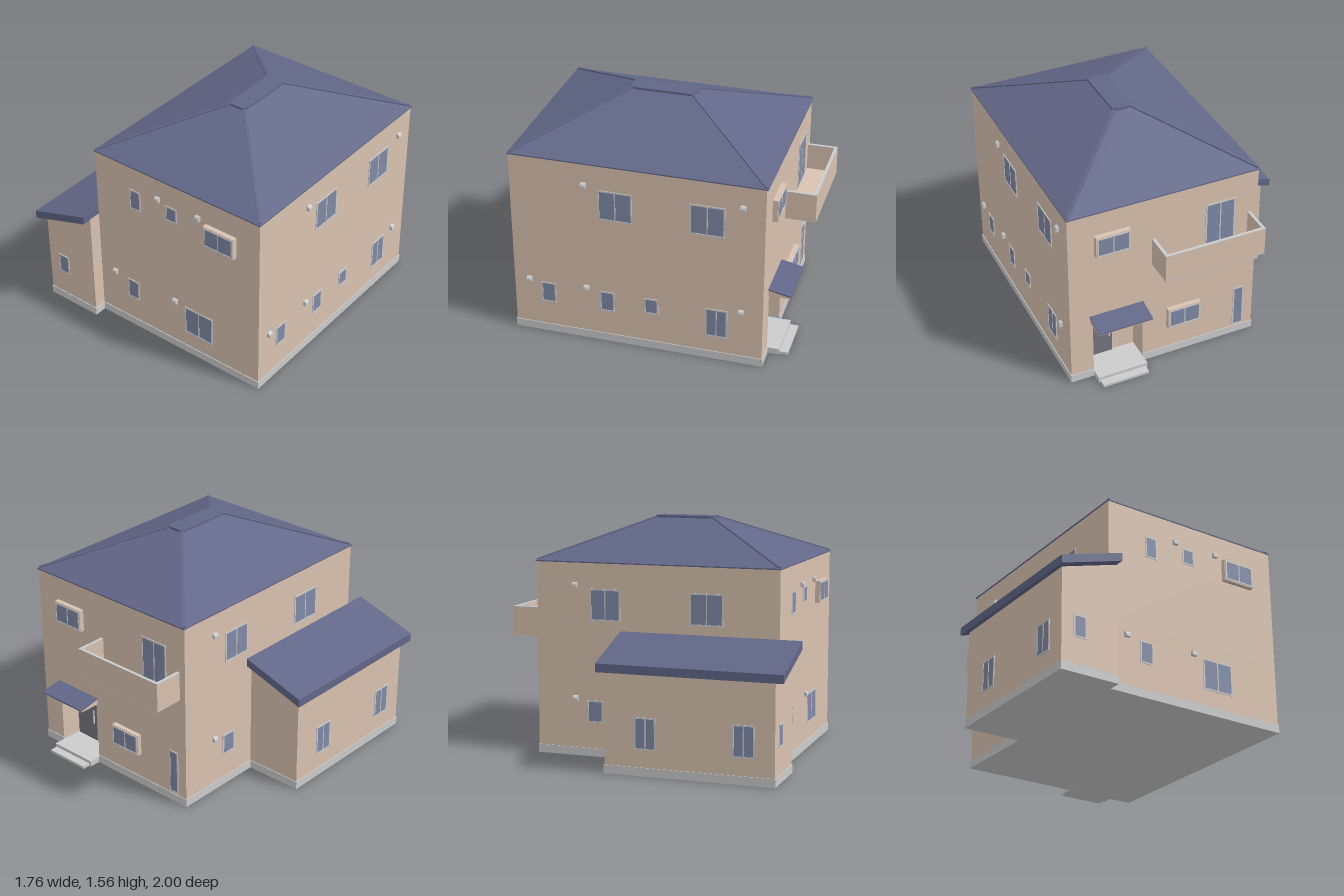
import * as THREE from 'three';
import { ConvexGeometry } from 'three/addons/geometries/ConvexGeometry.js';

const mat = (color) => new THREE.MeshStandardMaterial({ color });
const WALL = mat(0xd9c2b0), ROOF = mat(0x626788), GLASS = mat(0x808aa6), GREY = mat(0xcccccc), DOOR = mat(0x77767f);

function add(parent, name, geometry, material) {
  const mesh = new THREE.Mesh(geometry, material);
  mesh.name = name;
  parent.add(mesh);
  return mesh;
}

// Box given by its limits on each axis
function box(parent, name, material, x0, x1, y0, y1, z0, z1) {
  const g = new THREE.BoxGeometry(x1 - x0, y1 - y0, z1 - z0);
  g.translate((x0 + x1) / 2, (y0 + y1) / 2, (z0 + z1) / 2);
  return add(parent, name, g, material);
}

const outline = (points) => new THREE.Shape(points.map(([a, b]) => new THREE.Vector2(a, b)));
const extrude = (shape, depth) => new THREE.ExtrudeGeometry(shape, { depth, bevelEnabled: false, curveSegments: 6 });

// Plan outline of [x, z] points raised from y0 to y1
function plan(parent, name, material, points, y0, y1) {
  const g = extrude(outline(points.map(([x, z]) => [x, -z])), y1 - y0);
  g.rotateX(-Math.PI / 2).translate(0, y0, 0);
  return add(parent, name, g, material);
}

// Profile of [x, y] points drawn out from z0 to z1
function profile(parent, name, material, points, z0, z1) {
  return add(parent, name, extrude(outline(points), z1 - z0).translate(0, 0, z0), material);
}

// Rectangular frame with glass; the wall plane is local z = z
function makeWindow(wall, [u0, u1, y0, y1, panes = 1], z = 0) {
  const w = new THREE.Group(), f = 0.01;
  w.name = 'window';
  w.position.z = z;
  wall.add(w);
  const ring = outline([[u0, y0], [u1, y0], [u1, y1], [u0, y1]]);
  ring.holes.push(new THREE.Path([[u0 + f, y0 + f], [u0 + f, y1 - f], [u1 - f, y1 - f], [u1 - f, y0 + f]]
    .map(([a, b]) => new THREE.Vector2(a, b))));
  add(w, 'windowFrame', extrude(ring, 0.005), GREY);
  box(w, 'windowGlass', GLASS, u0 + f, u1 - f, y0 + f, y1 - f, 0, 0.002);
  if (panes === 2) {
    const m = (u0 + u1) / 2;
    box(w, 'windowMullion', GREY, m - 0.004, m + 0.004, y0 + f, y1 - f, 0, 0.004);
  }
}

// Boxed-out window
function makeBay(wall, [u0, u1, y0, y1]) {
  box(wall, 'bayBox', WALL, u0, u1, y0, y1, 0, 0.032);
  makeWindow(wall, [u0 + 0.006, u1 - 0.006, y0 + 0.006, y1 - 0.006, 2], 0.032);
}

// Small round-topped vent hood
function makeVent(wall, [u, y]) {
  const s = new THREE.Shape();
  s.moveTo(0, -0.016);
  s.lineTo(0.022, -0.016);
  s.lineTo(0.022, -0.003);
  s.quadraticCurveTo(0.021, 0.017, 0, 0.018);
  const g = extrude(s, 0.034);
  g.translate(0, 0, -0.017).rotateY(-Math.PI / 2).translate(u, y, 0);
  add(wall, 'ventHood', g, GREY);
}

// Wall frame: local x runs along the wall, local z points outwards
function dressWall(parent, name, angle, distance, { windows = [], bays = [], vents = [] }) {
  const wall = new THREE.Group();
  wall.name = name;
  wall.rotation.y = angle;
  wall.position.set(Math.sin(angle) * distance, 0, Math.cos(angle) * distance);
  parent.add(wall);
  windows.forEach((w) => makeWindow(wall, w));
  bays.forEach((b) => makeBay(wall, b));
  vents.forEach((v) => makeVent(wall, v));
}

function makeRoof(house) {
  const roof = new THREE.Group();
  roof.name = 'mainRoof';
  house.add(roof);
  const rect = (x0, x1, z0, z1, y) => [[x0, z0], [x1, z0], [x1, z1], [x0, z1]].map(([x, z]) => new THREE.Vector3(x, y, z));
  const eave = rect(-0.45, 0.86, -0.81, 0.86, 1.29), top = rect(0.15, 0.26, -0.175, 0.225, 1.55);
  add(roof, 'hipRoof', new ConvexGeometry([...rect(-0.45, 0.86, -0.81, 0.86, 1.282), ...eave, ...top]), ROOF);
  // Hip ridge strips
  eave.forEach((a, i) => {
    const b = top[i];
    const strip = add(roof, 'hipStrip', new THREE.BoxGeometry(0.018, 0.012, a.distanceTo(b) - 0.015), ROOF);
    strip.position.lerpVectors(a, b, 0.51);
    strip.lookAt(b);
  });
  // Flat ridge cap with clipped corners
  const [x0, x1, z0, z1, c] = [0.138, 0.272, -0.19, 0.238, 0.025];
  plan(roof, 'ridgeCap', ROOF, [[x0 + c, z0], [x1 - c, z0], [x1, z0 + c], [x1, z1 - c],
    [x1 - c, z1], [x0 + c, z1], [x0, z1 - c], [x0, z0 + c]], 1.545, 1.56);
}

function makeBalcony(house) {
  const balcony = new THREE.Group();
  balcony.name = 'balcony';
  house.add(balcony);
  const [x0, x1, z0, z1, t] = [-0.4, 0.29, -1, -0.8, 0.02];
  const u = [[x0, z1], [x0, z0], [x1, z0], [x1, z1], [x1 - t, z1], [x1 - t, z0 + t], [x0 + t, z0 + t], [x0 + t, z1]];
  box(balcony, 'balconySoffit', GREY, x0, x1, 0.772, 0.777, z0, z1);
  box(balcony, 'balconyFloor', WALL, x0 + t, x1 - t, 0.777, 0.79, z0 + t, z1);
  plan(balcony, 'balconyParapet', WALL, u, 0.777, 0.963);
  plan(balcony, 'balconyRail', GREY, u, 0.963, 0.97);
}

function makeEntrance(house) {
  const entrance = new THREE.Group();
  entrance.name = 'entrance';
  house.add(entrance);
  box(entrance, 'porchFloor', GREY, 0.356, 0.7, 0, 0.04, -0.88, -0.655);
  box(entrance, 'lowerStep', GREY, 0.37, 0.69, 0, 0.018, -0.935, -0.87);
  box(entrance, 'doorFrame', GREY, 0.5, 0.698, 0.04, 0.41, -0.66, -0.655);
  box(entrance, 'door', DOOR, 0.51, 0.688, 0.04, 0.4, -0.664, -0.655);
  box(entrance, 'doorHandle', GREY, 0.53, 0.537, 0.17, 0.27, -0.674, -0.664);
  // Sloping canopy: profile in depth and height, drawn out along x
  const canopy = (name, material, pts) => {
    const g = extrude(outline(pts), 0.37);
    g.rotateY(Math.PI / 2).translate(0.35, 0, -0.8);
    add(entrance, name, g, material);
  };
  canopy('canopySoffit', WALL, [[0, 0.45], [0.143, 0.45], [0.143, 0.459], [0, 0.488]]);
  canopy('canopyRoof', ROOF, [[0, 0.488], [0.148, 0.458], [0.148, 0.467], [0, 0.497]]);
}

export function createModel() {
  const house = new THREE.Group();
  house.name = 'house';

  // Foundation, following the walls and the entrance recess
  plan(house, 'foundation', GREY, [[-0.45, -0.805], [0.355, -0.805], [0.355, -0.655], [0.7, -0.655], [0.7, -0.805],
    [0.86, -0.805], [0.86, 0.86], [-0.44, 0.86], [-0.44, 0.945], [-0.845, 0.945], [-0.845, -0.175], [-0.45, -0.175]], 0, 0.055);

  // Main walls: notched lower part, plain upper part
  plan(house, 'lowerWalls', WALL, [[-0.445, -0.8], [0.355, -0.8], [0.355, -0.655], [0.7, -0.655], [0.7, -0.8],
    [0.855, -0.8], [0.855, 0.855], [-0.445, 0.855]], 0.04, 0.455);
  box(house, 'upperWalls', WALL, -0.445, 0.855, 0.455, 1.285, -0.8, 0.855);

  // Side wing with a single-slope roof
  profile(house, 'wingWalls', WALL, [[-0.84, 0.04], [-0.445, 0.04], [-0.445, 0.795], [-0.84, 0.668]], -0.17, 0.94);
  profile(house, 'wingRoof', ROOF, [[-0.88, 0.65], [-0.445, 0.79], [-0.445, 0.845], [-0.88, 0.705]], -0.215, 1);

  makeRoof(house);
  makeBalcony(house);
  makeEntrance(house);

  dressWall(house, 'frontWall', 0, 0.855, {
    windows: [[-0.167, -0.077, 0.965, 1.115], [0.127, 0.217, 1.005, 1.115], [-0.217, -0.12, 0.227, 0.375], [0.265, 0.492, 0.167, 0.375, 2]],
    bays: [[0.447, 0.68, 0.967, 1.117]],
    vents: [[0.068, 1.135], [0.388, 1.135], [-0.318, 0.385], [0.19, 0.385]],
  });
  dressWall(house, 'wingFrontWall', 0, 0.94, { windows: [[-0.757, -0.667, 0.227, 0.375]] });
  // On this side the local coordinate is -z
  dressWall(house, 'leftWall', Math.PI / 2, 0.855, {
    windows: [[-0.27, -0.047, 0.905, 1.115, 2], [0.322, 0.547, 0.905, 1.115, 2], [-0.672, -0.573, 0.227, 0.375],
      [-0.272, -0.175, 0.227, 0.375], [0.025, 0.118, 0.262, 0.375], [0.428, 0.572, 0.167, 0.375, 2]],
    vents: [[-0.36, 1.137], [0.66, 1.137], [-0.75, 0.385], [-0.36, 0.385], [0.66, 0.385]],
  });
  // Here it is -x
  dressWall(house, 'backWall', Math.PI, 0.8, {
    windows: [[0.08, 0.287, 0.79, 1.115, 2], [0.3, 0.378, 0.065, 0.375]],
    bays: [[-0.68, -0.447, 0.967, 1.117], [-0.185, 0.048, 0.23, 0.38]],
  });
  // Here it is z
  dressWall(house, 'rightWall', -Math.PI / 2, 0.445, {
    windows: [[-0.427, -0.215, 0.905, 1.115, 2], [0.26, 0.485, 0.905, 1.115, 2], [-0.45, -0.34, 0.227, 0.375]],
    vents: [[-0.53, 1.137], [-0.53, 0.385]],
  });
  dressWall(house, 'wingSideWall', -Math.PI / 2, 0.84, {
    windows: [[0.03, 0.172, 0.167, 0.375, 2], [0.67, 0.812, 0.167, 0.375, 2]],
  });
  return house;
}
